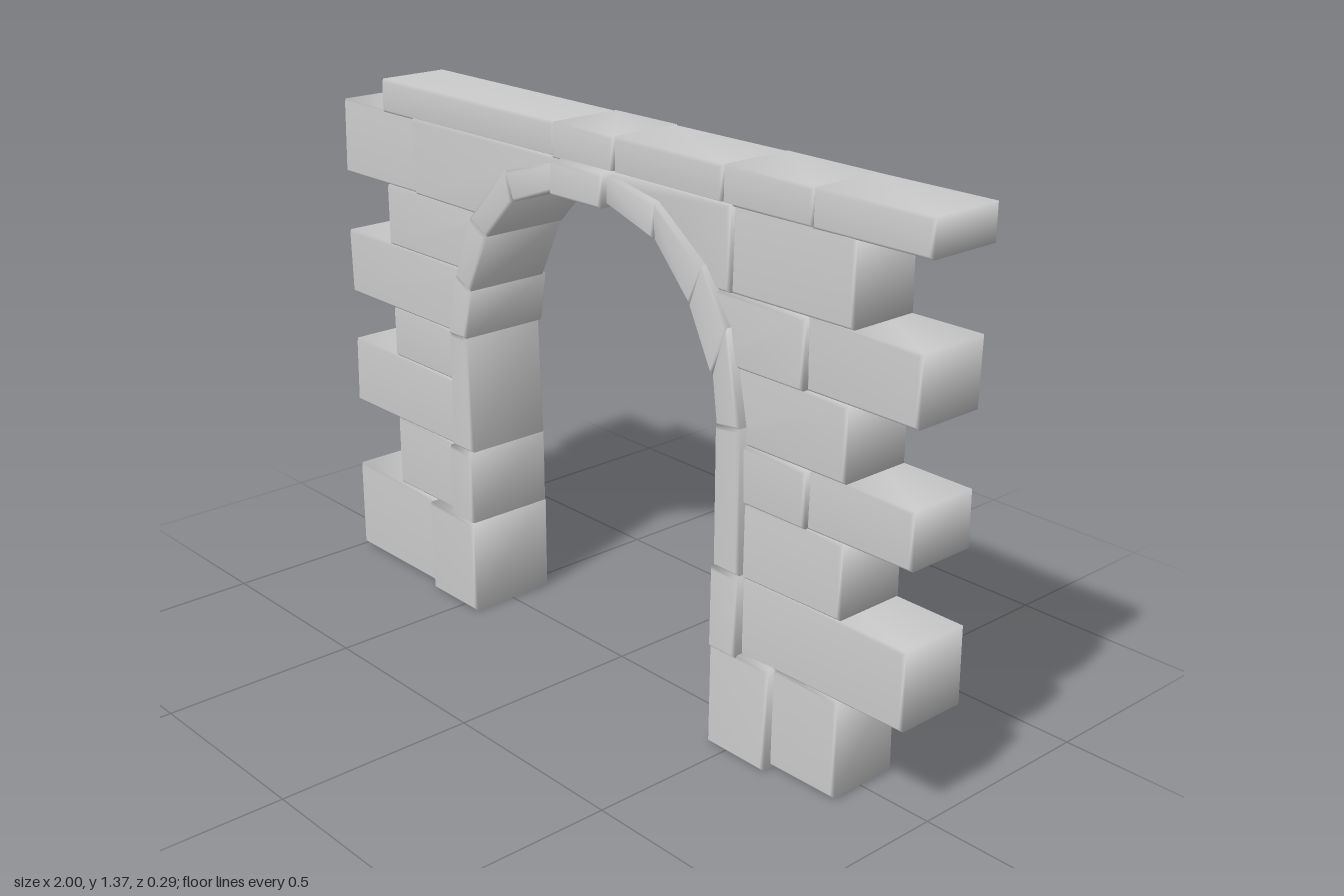
import * as THREE from 'three';
import { mergeVertices } from 'three/addons/utils/BufferGeometryUtils.js';

const material = new THREE.MeshStandardMaterial({ color: 0xcccccc });
const BEVEL = 0.007;
let seed = 0;

// One worn stone: an outline extruded through the wall, softly shaded, with slightly tilted faces
function stone(name, points, halfDepth) {
  const shape = new THREE.Shape(points.map(([x, y]) => new THREE.Vector2(x, y)));
  let geo = new THREE.ExtrudeGeometry(shape, {
    depth: 2 * (halfDepth - BEVEL), bevelEnabled: true, bevelSegments: 1,
    bevelSize: BEVEL, bevelThickness: BEVEL, bevelOffset: -BEVEL,
  });
  geo.translate(0, 0, BEVEL - halfDepth);
  geo.deleteAttribute('normal');
  geo.deleteAttribute('uv');
  geo = mergeVertices(geo, 1e-4);
  const p = geo.attributes.position;
  seed += 2.4;
  for (let i = 0; i < p.count; i++) {
    const wobble = Math.sin(p.getX(i) * 6 + p.getY(i) * 9 + Math.sign(p.getZ(i)) + seed);
    p.setZ(i, p.getZ(i) * (1 + 0.03 * wobble));
  }
  geo.computeVertexNormals();
  const mesh = new THREE.Mesh(geo, material);
  mesh.name = name;
  return mesh;
}

const rect = (x0, x1, y0, y1) => [[x0, y0], [x1, y0], [x1, y1], [x0, y1]];

// Arch ring joints from the base up: [outer x, outer y, inner x, inner y]
const ringRight = [
  [-0.537, 0.25, -0.445, 0.25], [-0.535, 0.45, -0.45, 0.45], [-0.525, 0.76, -0.457, 0.76],
  [-0.495, 0.92, -0.435, 0.89], [-0.43, 1.08, -0.365, 1.045], [-0.285, 1.225, -0.255, 1.155],
  [-0.09, 1.28, -0.09, 1.215],
];
const ringLeft = [
  [0.525, 0.25, 0.44, 0.25], [0.522, 0.45, 0.44, 0.45], [0.517, 0.8, 0.445, 0.79],
  [0.475, 1.02, 0.43, 0.905], [0.39, 1.14, 0.355, 1.045], [0.24, 1.25, 0.24, 1.167],
  [0.083, 1.28, 0.083, 1.215],
];

// Centre line of the ring, which bounds the wall stones
const centreLine = (ring) => ring.map(([ox, oy, ix, iy]) => [(ox + ix) / 2, (oy + iy) / 2]);

function xAt(line, y) {
  for (let i = 1; i < line.length; i++) {
    const [x0, y0] = line[i - 1], [x1, y1] = line[i];
    if (y <= y1) return x0 + (x1 - x0) * (y - y0) / (y1 - y0);
  }
  return line[line.length - 1][0];
}

// Stone that runs from a straight end to the curve of the arch
function fitted(x, y0, y1, line) {
  const inside = line.filter(([, y]) => y > y0 + 0.01 && y < y1 - 0.01);
  return [[x, y0], [xAt(line, y0), y0], ...inside, [xAt(line, y1), y1], [x, y1]];
}

// Wall courses: bottom, top, right end, right joint, left end, left joint
const courses = [
  [0.25, 0.44, -0.81, null, 0.99, null],
  [0.44, 0.62, -1, null, 0.805, null],
  [0.62, 0.755, -0.81, null, 0.99, 0.7],
  [0.755, 0.93, -1, null, 0.805, null],
  [0.93, 1.09, -0.81, null, 0.99, 0.685],
  [1.09, 1.285, -1, -0.68, 0.805, 0.46],
];

export function createModel() {
  seed = 0;
  const model = new THREE.Group();
  model.name = 'stoneArchway';
  const wall = new THREE.Group();
  wall.name = 'wall';
  const arch = new THREE.Group();
  arch.name = 'archRing';
  model.add(wall, arch);

  // Foot of each pier
  wall.add(stone('rightFootOuter', rect(-1, -0.62, 0.005, 0.25), 0.103));
  wall.add(stone('leftFootOuter', rect(0.61, 0.81, 0.005, 0.25), 0.1));
  arch.add(stone('rightFootInner', rect(-0.635, -0.445, 0, 0.255), 0.127));
  arch.add(stone('leftFootInner', rect(0.44, 0.622, 0, 0.255), 0.124));

  // Toothed courses on both sides of the opening
  courses.forEach(([y0, y1, rightEnd, rightJoint, leftEnd, leftJoint], i) => {
    const sides = [
      ['right', ringRight, rightEnd, rightJoint],
      ['left', ringLeft, leftEnd, leftJoint],
    ];
    for (const [side, ring, end, joint] of sides) {
      const line = centreLine(ring);
      if (joint !== null) {
        const x0 = Math.min(end, joint), x1 = Math.max(end, joint);
        wall.add(stone(`${side}CourseEnd${i + 1}`, rect(x0, x1, y0, y1), 0.097));
      }
      const inner = fitted(joint ?? end, y0, y1, line);
      wall.add(stone(`${side}Course${i + 1}`, inner, joint === null ? 0.099 : 0.106));
    }
  });

  // Top course
  const joints = [-0.815, -0.13, 0.08, 0.43, 0.69, 1];
  for (let i = 1; i < joints.length; i++) {
    const top = rect(joints[i - 1], joints[i], 1.28, 1.365);
    wall.add(stone(`topStone${i}`, top, i % 2 ? 0.099 : 0.102));
  }

  // Arch stones and keystone
  for (const [side, ring] of [['right', ringRight], ['left', ringLeft]]) {
    for (let i = 1; i < ring.length; i++) {
      const [ox, oy, ix, iy] = ring[i - 1], [px, py, qx, qy] = ring[i];
      const outline = [[ox, oy], [ix, iy], [qx, qy], [px, py]];
      arch.add(stone(`${side}ArchStone${i}`, outline, i % 2 ? 0.126 : 0.122));
    }
  }
  arch.add(stone('keystone', rect(-0.09, 0.085, 1.208, 1.287), 0.143));

  return model;
}
